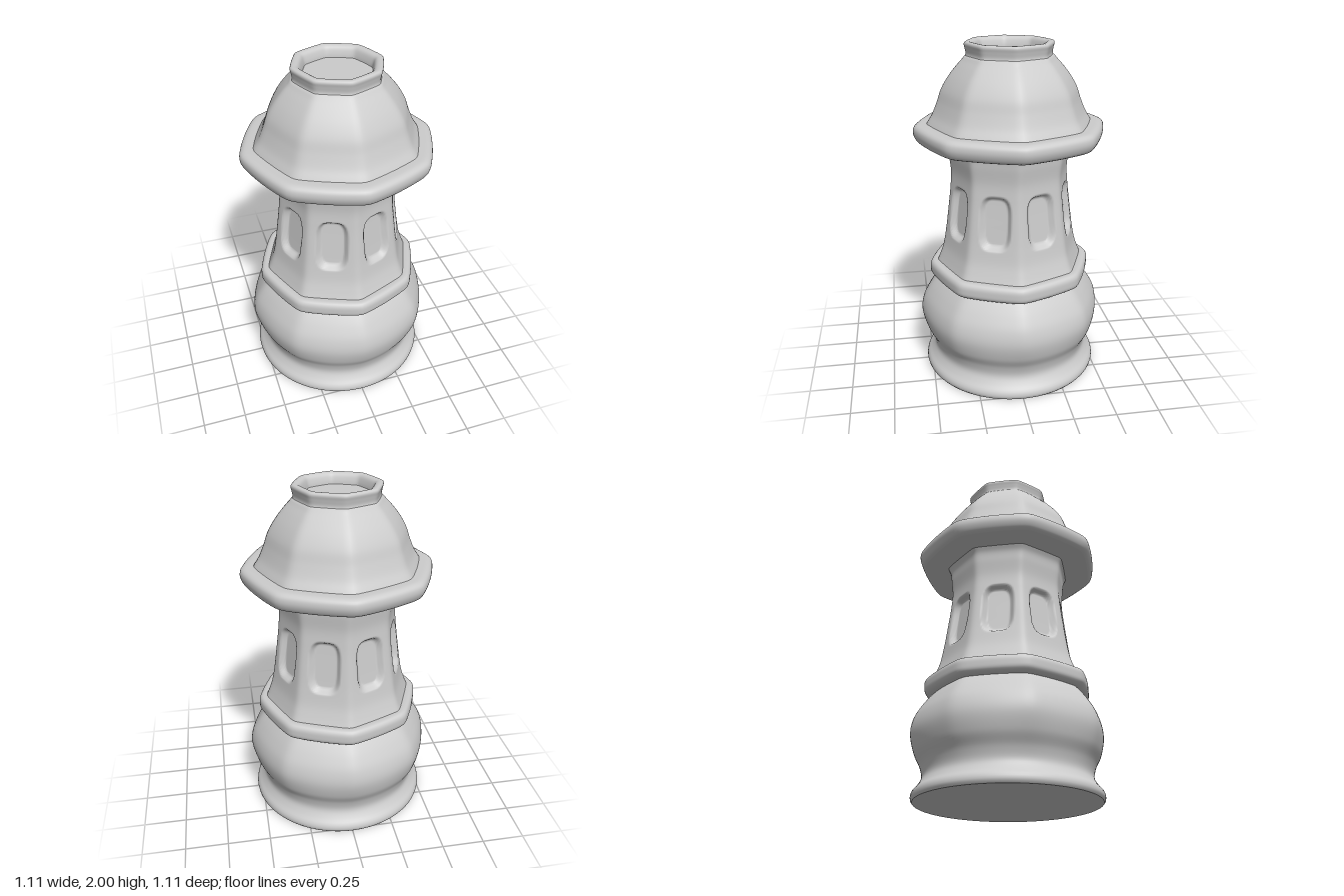
import * as THREE from 'three';

const SIDES = 8;
const STEP = (Math.PI * 2) / SIDES;
const material = new THREE.MeshStandardMaterial({ color: 0xcccccc });

// Angle measured from the middle of the nearest octagon face (corners lie on the x and z axes).
const faceAngle = (a) => (((a % STEP) + STEP) % STEP) - STEP / 2;

// Outline of a soft-cornered octagon, 1 at the corners.
function octagon(a) {
  const norm = (t) => {
    let sum = 0;
    for (let k = 0; k < SIDES; k++) sum += Math.max(0, Math.cos(t - (k + 0.5) * STEP)) ** 48;
    return sum ** (-1 / 48);
  };
  return norm(a) / norm(0);
}

// Sweeps a profile of [radius, y] around y; round = 0 is octagonal, 1 circular.
function loft(name, rings, round, { cols = 128, dent = () => 0 } = {}) {
  const pos = [], index = [];
  const outline = Array.from({ length: cols }, (_, j) => octagon((j / cols) * Math.PI * 2));
  rings.forEach(([r, y]) => {
    const k = round(y);
    for (let j = 0; j < cols; j++) {
      const a = (j / cols) * Math.PI * 2;
      const edge = r * (outline[j] * (1 - k) + k);
      const rad = edge - dent(a, y, edge);
      pos.push(rad * Math.sin(a), y, rad * Math.cos(a));
    }
  });
  for (let i = 0; i < rings.length - 1; i++) {
    for (let j = 0; j < cols; j++) {
      const n = (j + 1) % cols, p = i * cols, q = p + cols;
      index.push(p + j, p + n, q + n, p + j, q + n, q + j);
    }
  }
  const geo = new THREE.BufferGeometry();
  geo.setAttribute('position', new THREE.Float32BufferAttribute(pos, 3));
  geo.setIndex(index);
  geo.computeVertexNormals();
  const mesh = new THREE.Mesh(geo, material);
  mesh.name = name;
  return mesh;
}

// Smooth curve through the profile points.
function smooth(points, count) {
  const curve = new THREE.CatmullRomCurve3(points.map(([r, y]) => new THREE.Vector3(r, y, 0)), false, 'centripetal');
  return curve.getSpacedPoints(count).map((p) => [p.x, p.y]);
}

// Depth of the arched window recess in the middle of every face.
function windowDent(a, y, r) {
  const u = Math.abs(r * Math.sin(faceAngle(a))) / 0.09;
  const v = Math.abs(y - 1.035) / 0.157;
  const d = (u ** 3.6 + v ** 3.6) ** (1 / 3.6);
  return 0.032 * (1 - THREE.MathUtils.smoothstep(d, 0.84, 1.02));
}

export function createModel() {
  const model = new THREE.Group();

  // Flat underside
  model.add(loft('underside', [[0.001, 0], [0.522, 0]], () => 1));

  // Flared foot and bulging base, round below and faceted above
  model.add(loft('base', smooth([
    [0.522, 0], [0.532, 0.015], [0.528, 0.045], [0.5, 0.08], [0.478, 0.125], [0.49, 0.19],
    [0.53, 0.27], [0.553, 0.37], [0.54, 0.45], [0.5, 0.525], [0.45, 0.59], [0.43, 0.61],
  ], 50), (y) => 1 - 0.65 * THREE.MathUtils.smoothstep(y, 0.05, 0.6)));

  // Band between base and tower
  model.add(loft('band', smooth([
    [0.43, 0.6], [0.465, 0.602], [0.485, 0.62], [0.489, 0.65], [0.486, 0.68], [0.472, 0.697], [0.42, 0.7],
  ], 24), () => 0.3));

  // Tower with eight recessed windows
  model.add(loft('tower', smooth([
    [0.445, 0.69], [0.425, 0.74], [0.405, 0.8], [0.388, 0.89], [0.37, 1.02], [0.352, 1.17],
    [0.346, 1.26], [0.355, 1.35], [0.362, 1.41], [0.378, 1.445],
  ], 90), () => 0.08, { cols: 256, dent: windowDent }));

  // Roof: flat soffit, rounded eave and domed cap
  model.add(loft('soffit', [[0.34, 1.442], [0.52, 1.442]], () => 0.35));
  model.add(loft('eave', smooth([
    [0.52, 1.442], [0.537, 1.452], [0.552, 1.48], [0.556, 1.505], [0.55, 1.53], [0.53, 1.545], [0.47, 1.55],
  ], 24), () => 0.35));
  model.add(loft('dome', smooth([
    [0.485, 1.535], [0.47, 1.56], [0.445, 1.6], [0.415, 1.67], [0.39, 1.74], [0.352, 1.805],
    [0.305, 1.865], [0.268, 1.905], [0.25, 1.925], [0.23, 1.93],
  ], 40), () => 0.25));

  // Collar ring with its sunken floor
  model.add(loft('collar', smooth([
    [0.262, 1.9], [0.246, 1.93], [0.25, 1.965], [0.255, 1.99], [0.248, 2], [0.222, 2],
    [0.208, 1.99], [0.196, 1.96], [0.192, 1.935],
  ], 32), () => 0.2));
  model.add(loft('collarFloor', [[0.2, 1.94], [0.001, 1.94]], () => 0.2));

  return model;
}
